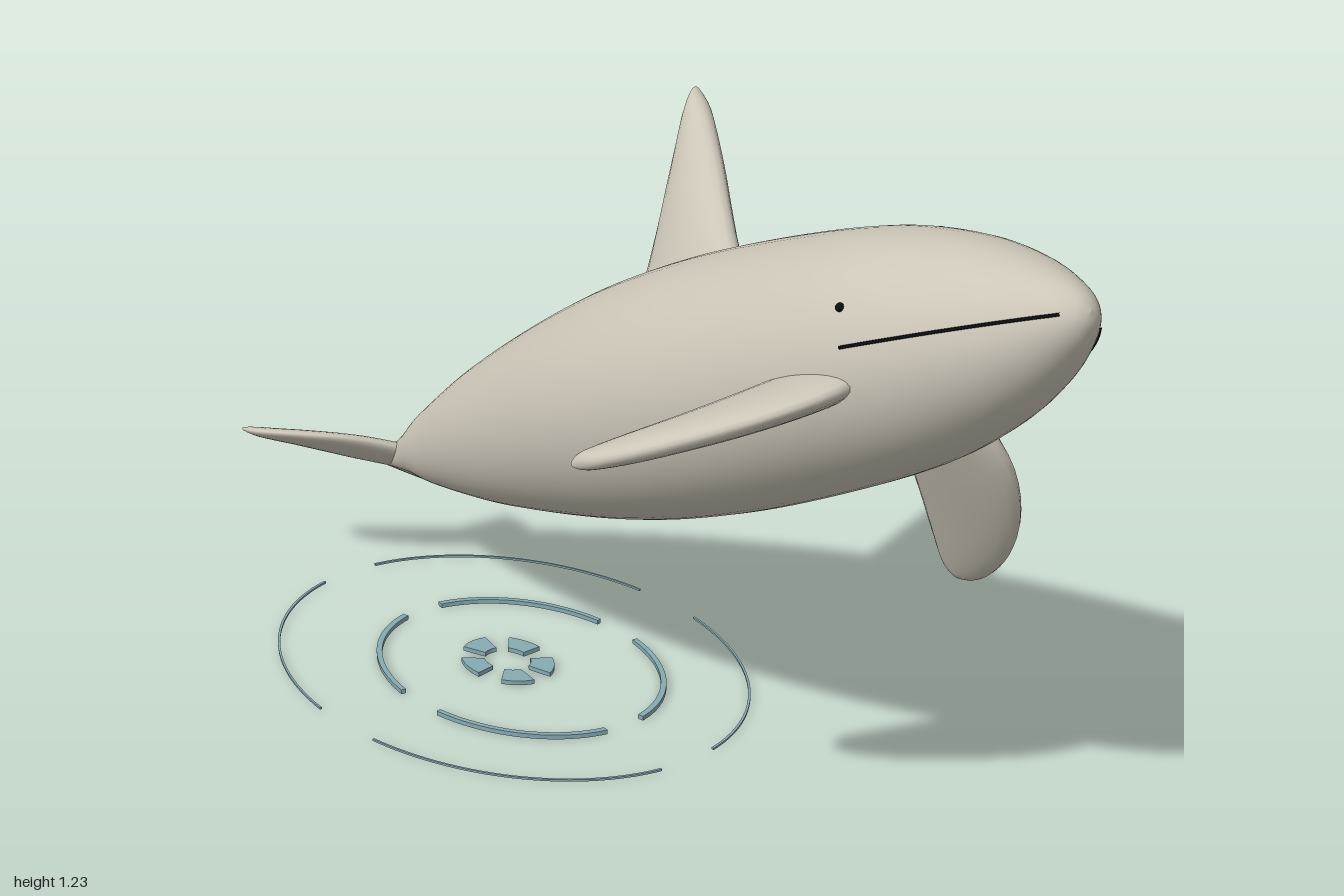
import * as THREE from 'three';

const V = (a) => new THREE.Vector3(...a);
const curve = (pts) => new THREE.CatmullRomCurve3(pts.map(V), false, 'centripetal');

// Body frame: forward axis, dorsal direction, right-hand side
const TAIL = V([-0.83, 0.24, -0.22]);
const NOSE = V([1.0, 1.185, 0.03]);
const LEN = NOSE.distanceTo(TAIL);
const A = NOSE.clone().sub(TAIL).normalize();
const D = V([-0.33, 0.78, -0.52]);
D.addScaledVector(A, -D.dot(A)).normalize();
const R = A.clone().cross(D).normalize();

// Body radius along the axis: distance from the tail, radius
const PROFILE = new THREE.SplineCurve([
  [0, 0], [0.03, 0.016], [0.12, 0.042], [0.24, 0.083], [0.5, 0.149], [0.85, 0.208], [1.14, 0.228],
  [1.42, 0.222], [1.66, 0.201], [1.83, 0.162], [1.95, 0.113], [2.03, 0.062], [2.065, 0.027], [LEN, 0],
].map(([s, r]) => new THREE.Vector2(s, r)));
const SAMPLES = PROFILE.getPoints(120);

function radiusAt(s) {
  const i = Math.max(1, SAMPLES.findIndex((p) => p.x >= s));
  const a = SAMPLES[i - 1], b = SAMPLES[i];
  return a.y + (b.y - a.y) * (s - a.x) / (b.x - a.x);
}

// Point on the skin: axis distance, angle from the dorsal line towards the right side
function skin(s, angle, r = radiusAt(s)) {
  return TAIL.clone().addScaledVector(A, s)
    .addScaledVector(R, 0.018 * Math.sin(Math.PI * s / LEN))
    .addScaledVector(D, Math.cos(angle) * r)
    .addScaledVector(R, Math.sin(angle) * r);
}

// Joins equal closed loops of points into a smooth surface
function loft(rings) {
  const n = rings[0].length, index = [];
  for (let i = 0; i < rings.length - 1; i++) {
    for (let j = 0; j < n; j++) {
      const k = (j + 1) % n, a = i * n, b = a + n;
      index.push(a + j, a + k, b + j, a + k, b + k, b + j);
    }
  }
  const geo = new THREE.BufferGeometry().setFromPoints(rings.flat());
  geo.setIndex(index);
  geo.computeVertexNormals();
  return geo;
}

// Fin with oval sections between a leading and a trailing edge
function fin(lead, trail, thick) {
  const f = curve(lead), b = curve(trail), rings = [], steps = 28, sides = 24;
  const root = f.getPoint(0).add(b.getPoint(0)).multiplyScalar(0.5);
  const out = f.getPoint(0.6).add(b.getPoint(0.6)).multiplyScalar(0.5).sub(root);
  const normal = out.cross(f.getPoint(0.3).sub(b.getPoint(0.3))).normalize();
  for (let i = 0; i <= steps; i++) {
    const t = Math.sin((i / steps) * Math.PI / 2);
    const p = f.getPoint(t), q = b.getPoint(t);
    const mid = p.clone().add(q).multiplyScalar(0.5);
    const half = p.clone().sub(mid);
    const h = thick * Math.sqrt(Math.max(0, 1 - t * t)) * (1 - 0.3 * t);
    const ring = [];
    for (let j = 0; j < sides; j++) {
      const a = (j / sides) * Math.PI * 2;
      ring.push(mid.clone().addScaledVector(half, Math.cos(a)).addScaledVector(normal, Math.sin(a) * h));
    }
    rings.push(ring);
  }
  return loft(rings);
}

// Flat curved band on the water, angles in degrees
function band(inner, outer, start, sweep, height) {
  const a = THREE.MathUtils.degToRad(start), b = THREE.MathUtils.degToRad(start + sweep);
  const shape = new THREE.Shape();
  shape.absarc(0, 0, outer, a, b, false);
  shape.absarc(0, 0, inner, b, a, true);
  const geo = new THREE.ExtrudeGeometry(shape, { depth: height, bevelEnabled: false, curveSegments: 24 });
  return geo.rotateX(-Math.PI / 2);
}

export function createModel() {
  const model = new THREE.Group();
  const material = (name, color) => {
    const m = new THREE.MeshStandardMaterial({ color });
    m.name = name;
    return m;
  };
  const hide = material('pale hide', 0xccc6b8);
  const dark = material('black', 0x0c0c10);
  const water = material('water blue', 0x86aab2);
  const add = (name, geo, mat, parent = model) => {
    const mesh = new THREE.Mesh(geo, mat);
    mesh.name = name;
    parent.add(mesh);
    return mesh;
  };

  // Body
  const rings = SAMPLES.map((p) => Array.from({ length: 56 }, (_, j) => skin(p.x, (j / 56) * Math.PI * 2, p.y)));
  add('body', loft(rings), hide);

  // Dorsal fin
  add('dorsalFin', fin(
    [[0.16, 0.88, -0.16], [0.075, 0.97, -0.21], [-0.06, 1.06, -0.325], [-0.15, 1.115, -0.395], [-0.195, 1.13, -0.422]],
    [[-0.13, 0.74, -0.18], [-0.143, 0.84, -0.245], [-0.168, 0.96, -0.325], [-0.188, 1.07, -0.39], [-0.195, 1.13, -0.422]],
    0.05), hide);

  // Pectoral fins: the right one lies level, the left one hangs down
  const level = ([x, z]) => [x, 0.838 + 0.44 * (x - 0.28), z];
  add('rightPectoralFin', fin(
    [[0.63, 0.1], [0.65, 0.2], [0.595, 0.315], [0.44, 0.425], [0.34, 0.455], [0.285, 0.45]].map(level),
    [[0.48, 0.1], [0.42, 0.2], [0.36, 0.29], [0.31, 0.365], [0.277, 0.42], [0.285, 0.45]].map(level),
    0.036), hide);
  const hanging = ([x, y]) => [x, y, -0.06 - 0.46 * (0.86 - y)];
  add('leftPectoralFin', fin(
    [[0.74, 0.9], [0.78, 0.8], [0.765, 0.68], [0.7, 0.555], [0.62, 0.475], [0.565, 0.457]].map(hanging),
    [[0.58, 0.88], [0.55, 0.74], [0.547, 0.65], [0.544, 0.56], [0.545, 0.49], [0.565, 0.457]].map(hanging),
    0.036), hide);

  // Tail flukes
  add('rightFluke', fin(
    [[-0.73, 0.305, -0.19], [-0.785, 0.338, -0.11], [-0.86, 0.352, -0.035], [-0.95, 0.346, 0.008], [-1.0, 0.333, 0.0]],
    [[-0.83, 0.24, -0.22], [-0.88, 0.262, -0.16], [-0.935, 0.288, -0.1], [-0.975, 0.313, -0.045], [-1.0, 0.333, 0.0]],
    0.02), hide);
  add('leftFluke', fin(
    [[-0.73, 0.3, -0.2], [-0.705, 0.232, -0.295], [-0.718, 0.165, -0.385], [-0.755, 0.105, -0.447], [-0.8, 0.084, -0.462]],
    [[-0.83, 0.24, -0.22], [-0.83, 0.2, -0.275], [-0.818, 0.155, -0.34], [-0.807, 0.11, -0.41], [-0.8, 0.084, -0.462]],
    0.02), hide);

  // Eyes and mouth line, mirrored across the dorsal plane
  for (const [side, sign] of [['right', 1], ['left', -1]]) {
    const eye = add(side + 'Eye', new THREE.SphereGeometry(0.008, 12, 8), dark);
    eye.position.copy(skin(1.7, sign * 1.49));
    const path = Array.from({ length: 14 }, (_, i) => {
      const s = 1.7 + 0.027 * i;
      return skin(s, sign * 1.83, radiusAt(s) + 0.0005);
    });
    add(side + 'Mouth', new THREE.TubeGeometry(new THREE.CatmullRomCurve3(path), 40, 0.003, 6), dark);
  }

  // Blowhole
  const blowhole = add('blowhole', new THREE.SphereGeometry(0.008, 12, 8), dark);
  blowhole.scale.set(1, 0.4, 1);
  blowhole.quaternion.setFromUnitVectors(V([0, 1, 0]), D);
  blowhole.position.copy(skin(1.7, 0));

  // Oval ripples and spray tiles on the water
  const ripples = new THREE.Group();
  ripples.name = 'ripples';
  ripples.position.set(-0.36, 0, -0.083);
  ripples.scale.z = 0.766;
  model.add(ripples);
  for (let i = 0; i < 4; i++) {
    add('outerRipple', band(0.498, 0.503, 90 * i + 91, 72, 0.004), water, ripples).position.y = 0.008;
    const inner = add('innerRipple', band(0.296, 0.308, 90 * i + 91, 70, 0.009), water, ripples);
    inner.position.set(0.024, 0.006, 0);
  }
  for (let i = 0; i < 5; i++) {
    const tile = add('sprayTile', band(0.05, 0.1, 72 * i + 10, 42, 0.009), water, ripples);
    tile.position.set(-0.01, 0.005, 0);
  }
  return model;
}
